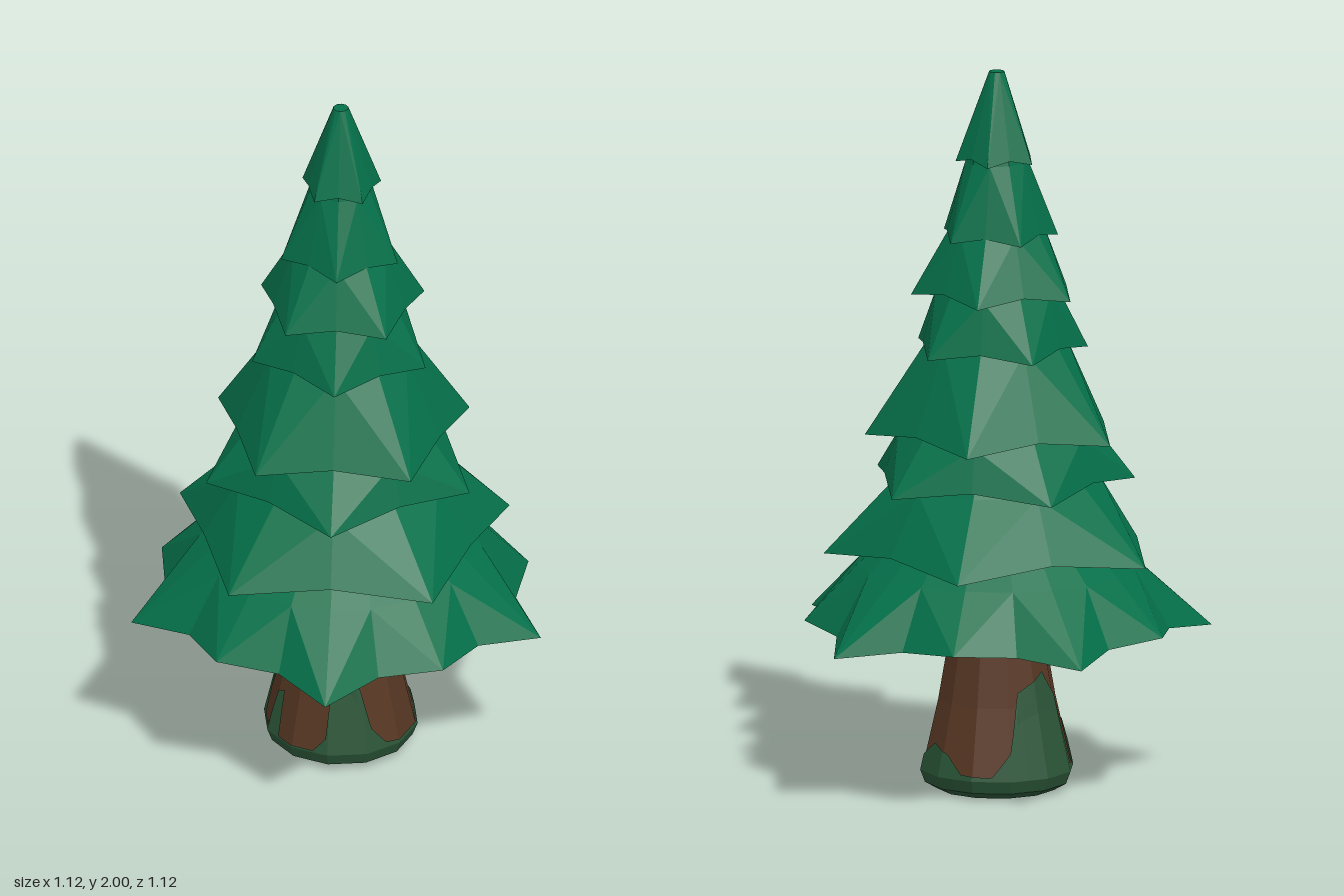
import * as THREE from 'three';

const AXIS_Z = 0.03;
const rad = THREE.MathUtils.degToRad;

// angle 0 faces +z and grows toward +x
const polar = (a, r, y) => [Math.sin(a) * r, y, Math.cos(a) * r];

// Piecewise linear lookup in a list of [key, value] pairs
function lookup(table, k) {
  for (let i = 1; i < table.length; i++) {
    const [k0, v0] = table[i - 1], [k1, v1] = table[i];
    if (k <= k1) return v0 + (v1 - v0) * (k - k0) / (k1 - k0);
  }
  return table[table.length - 1][1];
}

// Closed loops of points joined by quads, first and last loop optionally capped
function loft(rings, capStart, capEnd) {
  const pos = [], n = rings[0].length;
  const tri = (a, b, c) => pos.push(...a, ...b, ...c);
  for (let j = 0; j + 1 < rings.length; j++) {
    for (let i = 0; i < n; i++) {
      const k = (i + 1) % n;
      const a = rings[j][i], b = rings[j][k], c = rings[j + 1][k], d = rings[j + 1][i];
      // diagonals alternate so the facets mirror about every tip
      if (i % 2 === 0) {
        tri(a, b, c);
        tri(a, c, d);
      } else {
        tri(a, b, d);
        tri(b, c, d);
      }
    }
  }
  const cap = (ring, up) => {
    const centre = [0, ring[0][1], 0];
    for (let i = 0; i < n; i++) {
      const k = (i + 1) % n;
      up ? tri(centre, ring[i], ring[k]) : tri(centre, ring[k], ring[i]);
    }
  };
  if (capStart) cap(rings[0], false);
  if (capEnd) cap(rings[rings.length - 1], true);
  const g = new THREE.BufferGeometry();
  g.setAttribute('position', new THREE.Float32BufferAttribute(pos, 3));
  g.computeVertexNormals();
  return g;
}

// Trunk: a flared twelve-sided column
const SIDES = 12, SECTOR = Math.PI * 2 / SIDES;
const trunkProfile = [[0, 0.16], [0.02, 0.195], [0.055, 0.208], [0.25, 0.163], [0.44, 0.13], [0.64, 0.115]];

function trunkPoint(a, y, offset = 0) {
  const local = ((a % SECTOR) + SECTOR) % SECTOR - SECTOR / 2;
  const flat = Math.cos(SECTOR / 2) / Math.cos(local);
  return polar(a, lookup(trunkProfile, y) * flat + offset, y);
}

// The wood starts just above the ground, inside the moss
function trunkGeometry() {
  return loft(trunkProfile.slice(1).map(([y]) =>
    Array.from({ length: SIDES }, (_, i) => trunkPoint(i * SECTOR, y))), true, true);
}

// Moss: a skin over the trunk foot whose upper edge follows [degrees, height]
const mossEdge = [
  [0, 0.06], [18, 0.06], [28, 0.1], [32, 0.27], [38, 0.33], [48, 0.32], [58, 0.24], [66, 0.12], [78, 0.07], [90, 0.065],
  [140, 0.065], [150, 0.1], [165, 0.14], [185, 0.12], [200, 0.07], [225, 0.065], [240, 0.13], [250, 0.29],
  [285, 0.34], [302, 0.26], [310, 0.07], [328, 0.065], [332, 0.18], [340, 0.19], [344, 0.06], [360, 0.06],
];

function mossGeometry() {
  const columns = Array.from({ length: 180 }, (_, i) => i * 2);
  const ring = heightAt => columns.map(d => trunkPoint(rad(d), heightAt(d), 0.005));
  const rings = [0, 0.02, 0.055].map(y => ring(() => y));
  for (const t of [0.33, 0.67, 1]) rings.push(ring(d => 0.055 + (lookup(mossEdge, d) - 0.055) * t));
  return loft(rings, true, false);
}

// Foliage tier: pleated underside, jagged rim, then facets up into the tier above
function tierGeometry({ y, tip, topY, topR, start, rim, last }) {
  const n = rim.length * 5;
  const ring = place => Array.from({ length: n }, (_, i) => {
    const [k, lift, turn] = rim[i % rim.length];
    const [r, h] = place(k, lift);
    return polar(start + i * Math.PI * 2 / n + rad(turn), r, h);
  });
  const rings = [
    ring(() => [tip * 0.2, y + (topY - y) * 0.9]),
    ring((k, lift) => [tip * k, y + lift]),
    ring(() => [topR, topY]),
  ];
  if (!last) rings.push(ring(() => [topR * 0.72, topY + 0.1]));
  return loft(rings, false, true);
}

export function createModel() {
  const tree = new THREE.Group();
  tree.name = 'pineTree';
  const add = (name, geometry, color) => {
    const mesh = new THREE.Mesh(geometry, new THREE.MeshStandardMaterial({
      color, flatShading: true, side: THREE.DoubleSide,
    }));
    mesh.name = name;
    mesh.position.z = AXIS_Z;
    tree.add(mesh);
  };

  add('trunk', trunkGeometry(), 0x573723);
  add('moss', mossGeometry(), 0x2a5437);

  // rim height, tip radius, height and radius where the next tier begins
  const tiers = [
    [0.44, 0.59, 0.625, 0.385],
    [0.66, 0.475, 0.86, 0.285],
    [0.855, 0.38, 1.0, 0.27],
    [0.99, 0.362, 1.25, 0.192],
    [1.225, 0.25, 1.39, 0.168],
    [1.38, 0.235, 1.56, 0.132],
    [1.54, 0.168, 1.75, 0.086],
    [1.75, 0.113, 2.0, 0.021],
  ];
  // [share of the tip radius, lift above the tip, turn in degrees] around one fifth of the rim
  const starRim = [[1, 0, 0], [0.815, 0.022, -1.5], [0.895, 0.033, 0], [0.815, 0.022, 1.5]];
  const plainRim = lift => [[1, 0, 0], [0.81, lift, 0]];
  tiers.forEach(([y, tip, topY, topR], i) => {
    const rim = i === 0 ? starRim : plainRim(0.01 + tip * 0.045);
    // tiers alternate between a tip at the back and a tip at the front
    const start = i % 2 === 0 ? Math.PI : 0;
    add(`foliageTier${i + 1}`, tierGeometry({ y, tip, topY, topR, start, rim, last: i === tiers.length - 1 }), 0x05704a);
  });
  return tree;
}
